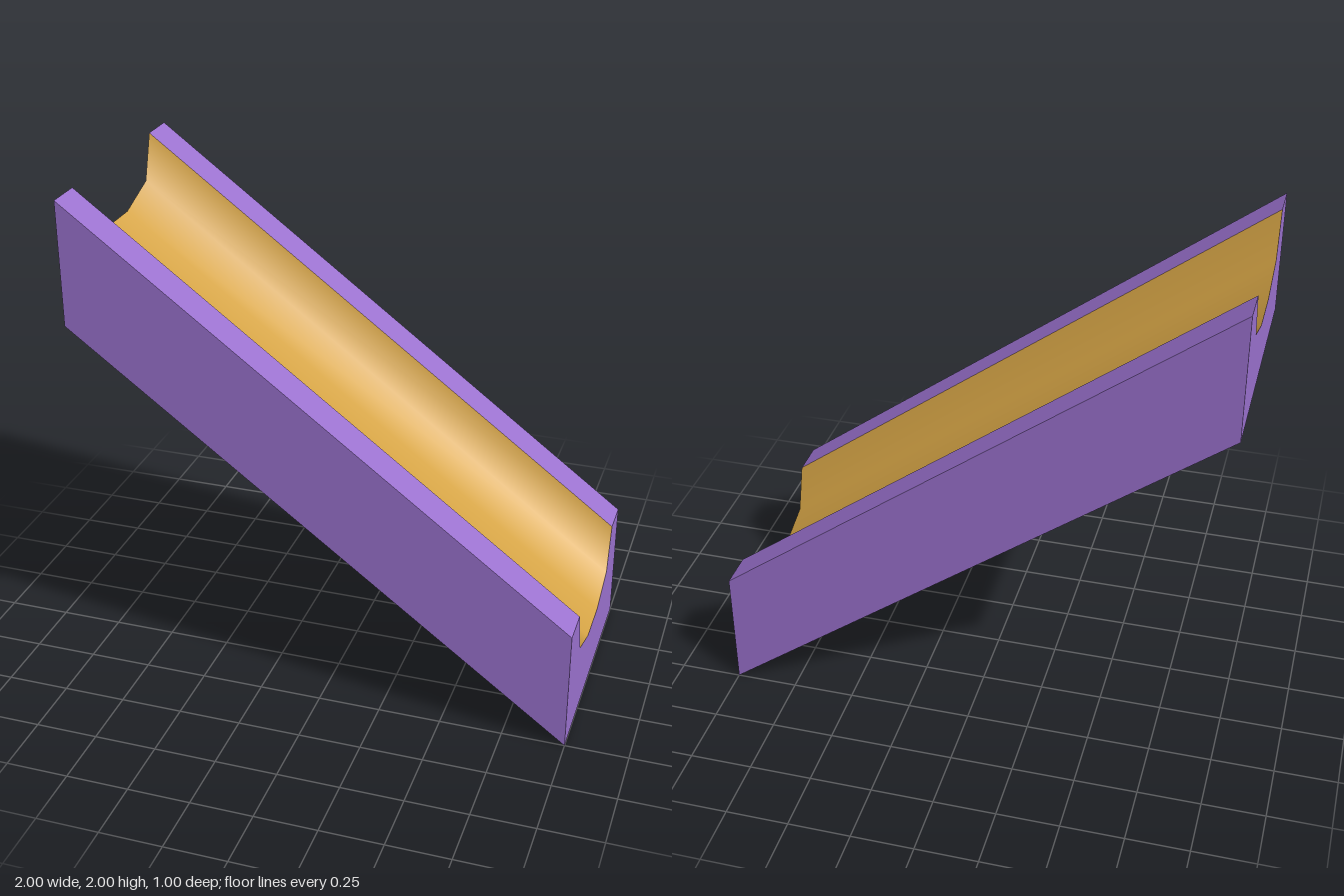
import * as THREE from 'three';

// Height the sloping chute gains at a given x
const rise = (x) => 0.75 * (1 - x);

// Cross-section as [z, y]: the channel, then the outside running back around
const channel = [[-0.35, 0.5], [-0.29, 0.315], [-0.1, 0.25], [0.1, 0.25], [0.29, 0.315], [0.35, 0.5]];
const outside = [[0.35, 0.5], [0.5, 0.5], [0.5, 0], [-0.5, 0], [-0.5, 0.5], [-0.35, 0.5]];

// Sweep a cross-section line along the slope from x = -1 to x = 1
function sweep(points) {
  const positions = [], index = [];
  for (const [z, y] of points) {
    for (const x of [-1, 1]) positions.push(x, y + rise(x), z);
  }
  for (let i = 0; i < points.length - 1; i++) {
    const a = 2 * i;
    index.push(a, a + 2, a + 1, a + 1, a + 2, a + 3);
  }
  const geometry = new THREE.BufferGeometry();
  geometry.setAttribute('position', new THREE.Float32BufferAttribute(positions, 3));
  geometry.setIndex(index);
  geometry.computeVertexNormals();
  return geometry;
}

export function createModel() {
  const purple = new THREE.MeshStandardMaterial({ color: 0x9b72cf });
  purple.name = 'purple';
  const gold = new THREE.MeshStandardMaterial({ color: 0xd4a345 });
  gold.name = 'gold';

  const model = new THREE.Group();
  model.name = 'slopedChute';
  const add = (name, geometry, material) => {
    const mesh = new THREE.Mesh(geometry, material);
    mesh.name = name;
    model.add(mesh);
  };

  // Smooth channel floor
  add('channel', sweep(channel), gold);

  // Flat rims, side walls and underside
  const walls = sweep(outside).toNonIndexed();
  walls.computeVertexNormals();
  add('outerWalls', walls, purple);

  // Upright ends with the channel cut out
  const section = new THREE.Shape([...channel, ...outside.slice(1, -1)].map(([z, y]) => new THREE.Vector2(z, y)));
  for (const x of [-1, 1]) {
    const end = new THREE.ShapeGeometry(section);
    end.rotateY(x * Math.PI / 2);
    end.translate(x, rise(x), 0);
    add(x < 0 ? 'upperEnd' : 'lowerEnd', end, purple);
  }
  return model;
}
